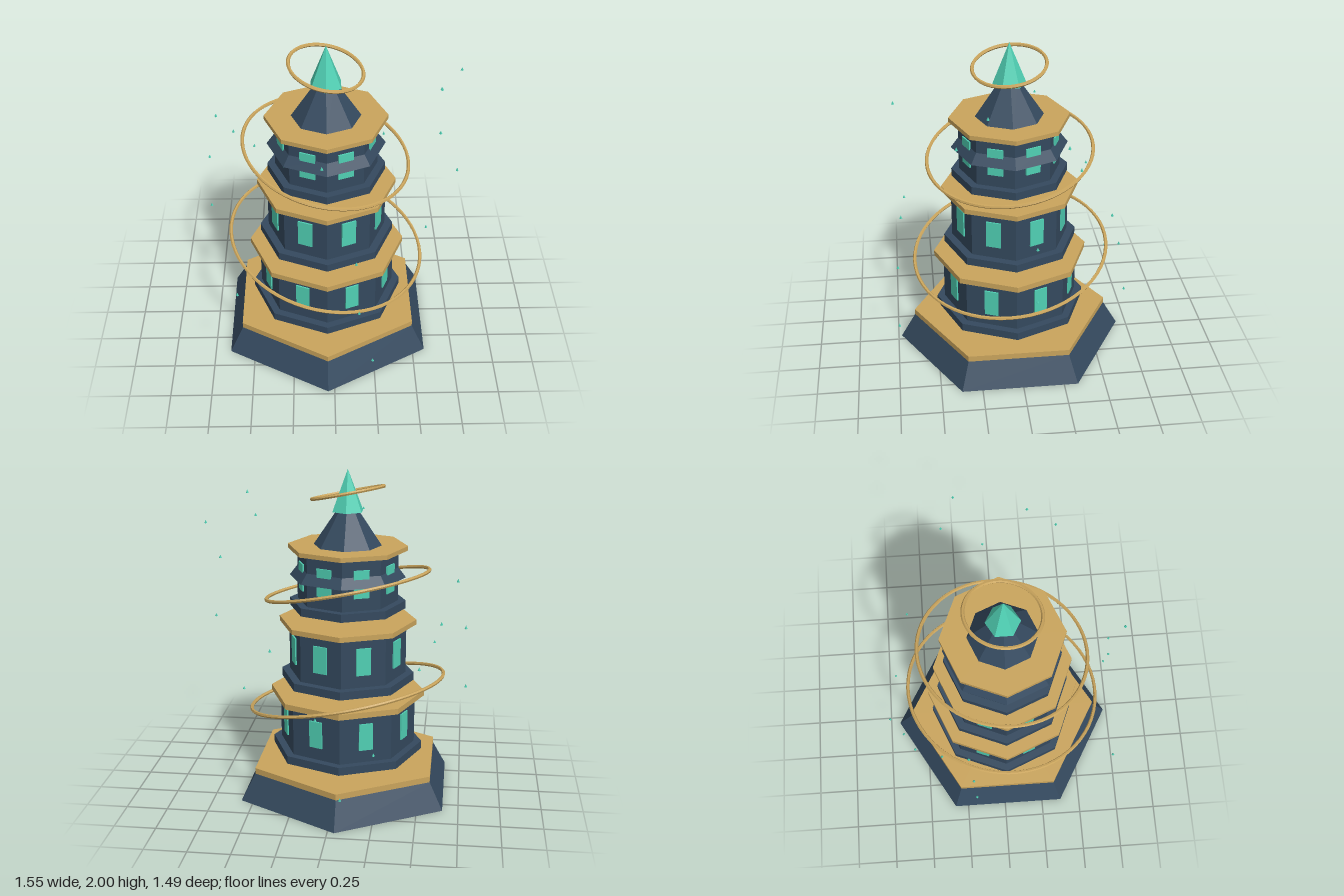
import * as THREE from 'three';

export function createModel() {
  const model = new THREE.Group();
  model.name = 'floatingPagoda';

  const mat = (name, color) => {
    const m = new THREE.MeshStandardMaterial({ color, flatShading: true });
    m.name = name;
    return m;
  };
  const slate = mat('slate blue', 0x34495e);
  const gold = mat('gold', 0xc9a45c);
  const jade = mat('jade', 0x50d0b4);

  // Everything except the sparks shares the tower's axis
  const tower = new THREE.Group();
  tower.name = 'tower';
  tower.position.set(-0.04, 0, 0.02);
  model.add(tower);

  const add = (parent, name, geometry, material) => {
    const mesh = new THREE.Mesh(geometry, material);
    mesh.name = name;
    parent.add(mesh);
    return mesh;
  };
  // Prism or frustum standing between two heights
  const prism = (parent, name, material, sides, y0, y1, rBottom, rTop = rBottom) => {
    const mesh = add(parent, name, new THREE.CylinderGeometry(rTop, rBottom, y1 - y0, sides), material);
    mesh.position.y = (y0 + y1) / 2;
    return mesh;
  };

  // Hexagonal plinth
  prism(tower, 'plinth', slate, 6, 0, 0.163, 0.71, 0.617);
  prism(tower, 'plinthSlab', gold, 6, 0.163, 0.2, 0.617);

  // Three floating octagonal storeys with a window on each face
  const storeys = [
    { name: 'lowerStorey', y: [0.25, 0.3, 0.605, 0.64], r: [0.467, 0.42, 0.477], windowY: 0.462, windowW: 0.085 },
    { name: 'middleStorey', y: [0.705, 0.755, 1.062, 1.093], r: [0.41, 0.36, 0.42], windowY: 0.915, windowW: 0.09 },
    { name: 'upperStorey', y: [1.163, 1.212, 1.52, 1.547], r: [0.353, 0.306, 0.362], windowY: 1.372, windowW: 0.095 },
  ];
  for (const s of storeys) {
    const storey = new THREE.Group();
    storey.name = s.name;
    tower.add(storey);
    prism(storey, 'sill', slate, 8, s.y[0], s.y[1], s.r[0]);
    prism(storey, 'walls', slate, 8, s.y[1], s.y[2], s.r[1]);
    prism(storey, 'cap', gold, 8, s.y[2], s.y[3], s.r[2]);
    const apothem = s.r[1] * Math.cos(Math.PI / 8);
    for (let i = 0; i < 8; i++) {
      const a = (i + 0.5) * Math.PI / 4;
      const pane = add(storey, 'window', new THREE.BoxGeometry(s.windowW, 0.167, 0.009), jade);
      pane.position.set(Math.sin(a) * (apothem + 0.005), s.windowY, Math.cos(a) * (apothem + 0.005));
      pane.rotation.y = a;
    }
  }

  // Flared eave around the top storey, roof and crystal
  prism(tower, 'eave', slate, 8, 1.355, 1.43, 0.352, 0.295);
  prism(tower, 'roof', slate, 8, 1.547, 1.76, 0.205, 0.062);
  const crystal = add(tower, 'crystal', new THREE.ConeGeometry(0.1, 0.25, 6), jade);
  crystal.position.y = 1.875;

  // Tilted orbiting rings
  const tilt = new THREE.Quaternion().setFromUnitVectors(
    new THREE.Vector3(0, 0, 1), new THREE.Vector3(0.2, 1, 0.118).normalize());
  for (const [y, r] of [[0.63, 0.605], [1.305, 0.502], [1.86, 0.217]]) {
    const ring = add(tower, 'ring', new THREE.TorusGeometry(r, 0.011, 6, 64), gold);
    ring.position.y = y;
    ring.quaternion.copy(tilt);
  }

  // Small sparks drifting around the tower
  const sparks = [
    [0.6, 1.825, 0.2], [0.765, 1.715, -0.21], [0.585, 1.65, 0.37], [0.665, 1.53, -0.295],
    [-0.07, 1.645, 0.7], [-0.705, 1.405, -0.215], [-0.62, 1.19, -0.37], [-0.76, 1.12, -0.195],
    [0.76, 1.105, -0.05], [0.34, 1.05, -0.545], [0.12, 0.985, 0.69], [-0.505, 0.97, -0.535],
    [-0.77, 0.755, -0.185], [-0.56, 0.75, 0.67], [0.07, 0.685, -0.655], [0.595, 0.645, -0.075],
    [0.14, 0.645, 0.725], [-0.26, 0.48, -0.635], [0.225, 0.275, 0.735], [-0.08, 0.24, -0.74],
  ];
  const sparkGeometry = new THREE.ConeGeometry(0.009, 0.02, 4);
  for (const p of sparks) add(model, 'spark', sparkGeometry, jade).position.set(...p);

  return model;
}
